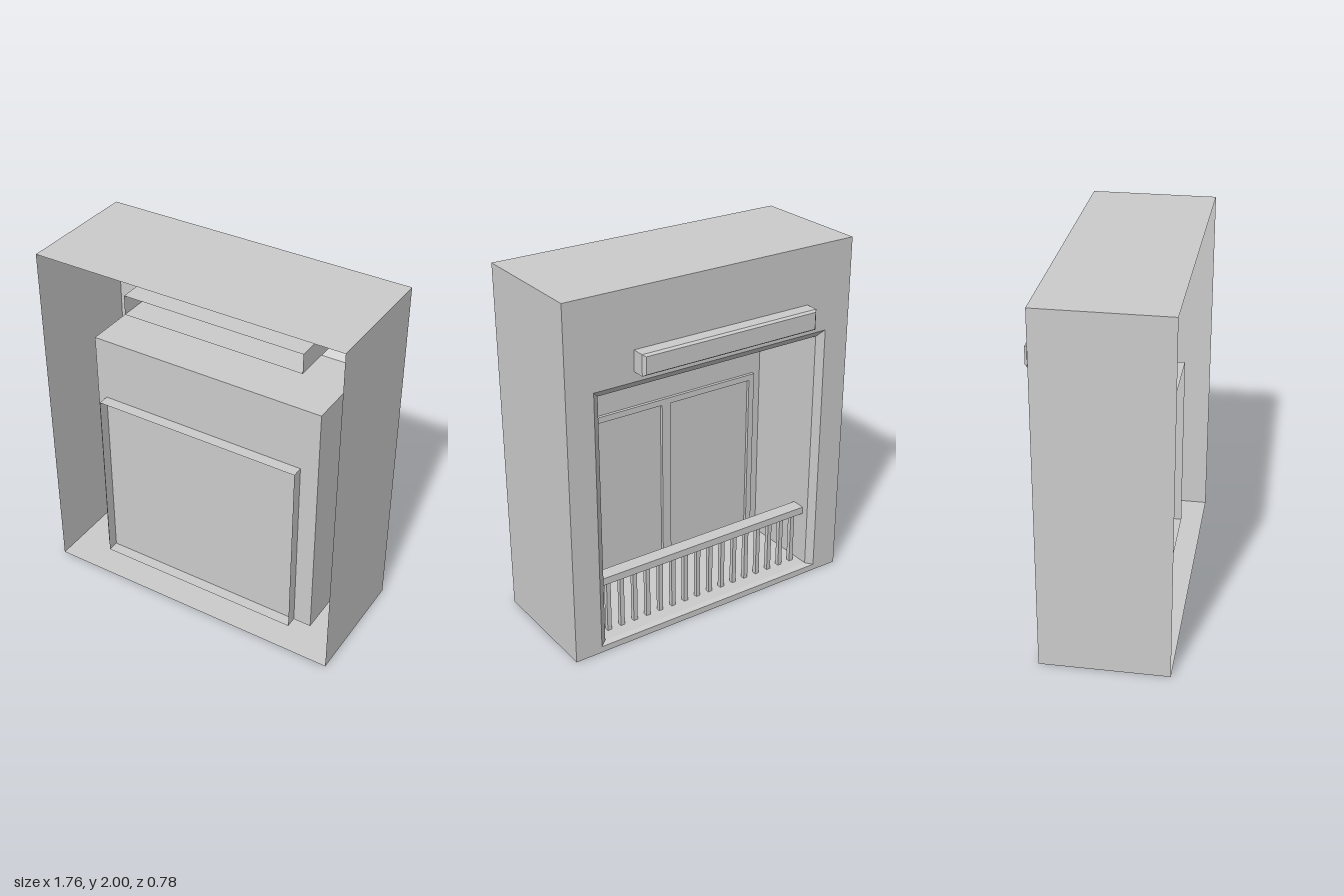
import * as THREE from 'three';

const material = new THREE.MeshStandardMaterial({
  color: 0xcccccc, flatShading: true, side: THREE.DoubleSide,
});

// Skin through rectangular rings [x0, x1, y0, y1, z], ordered from low z to high z
function loft(rings, capStart = false, capEnd = false) {
  const loops = rings.map(([x0, x1, y0, y1, z]) =>
    [[x0, y0, z], [x1, y0, z], [x1, y1, z], [x0, y1, z]]);
  const pos = [];
  const quad = (a, b, c, d) => pos.push(...a, ...b, ...c, ...a, ...c, ...d);
  for (let i = 0; i + 1 < loops.length; i++) {
    const lo = loops[i], hi = loops[i + 1];
    for (let k = 0; k < 4; k++) {
      const n = (k + 1) % 4;
      quad(lo[k], lo[n], hi[n], hi[k]);
    }
  }
  const first = loops[0], last = loops[loops.length - 1];
  if (capStart) quad(first[3], first[2], first[1], first[0]);
  if (capEnd) quad(...last);
  const geometry = new THREE.BufferGeometry();
  geometry.setAttribute('position', new THREE.Float32BufferAttribute(pos, 3));
  geometry.computeVertexNormals();
  return geometry;
}

function rectPath(Type, x0, x1, y0, y1) {
  return new Type([[x0, y0], [x1, y0], [x1, y1], [x0, y1]]
    .map(([x, y]) => new THREE.Vector2(x, y)));
}

export function createModel() {
  const model = new THREE.Group();
  const add = (name, geometry, parent = model) => {
    const mesh = new THREE.Mesh(geometry, material);
    mesh.name = name;
    parent.add(mesh);
    return mesh;
  };
  const box = (name, x0, x1, y0, y1, z0, z1, parent) => {
    const mesh = add(name, new THREE.BoxGeometry(x1 - x0, y1 - y0, z1 - z0), parent);
    mesh.position.set((x0 + x1) / 2, (y0 + y1) / 2, (z0 + z1) / 2);
  };
  const wallZ = -0.305, recessZ = 0.206;

  // Thin outer shell, open at the front
  add('outerShell', loft([[-0.878, 0.878, 0, 2, wallZ], [-0.878, 0.878, 0, 2, 0.39]]));

  // Facade wall with the balcony opening
  const wall = rectPath(THREE.Shape, -0.878, 0.878, 0, 2);
  wall.holes.push(rectPath(THREE.Path, -0.722, 0.722, 0.036, 1.51));
  const wallGeometry = new THREE.ShapeGeometry(wall);
  wallGeometry.rotateY(Math.PI);
  add('facadeWall', wallGeometry).position.z = wallZ;

  // Balcony recess with a splayed edge around the opening
  add('balconyRecess', loft([
    [-0.722, 0.722, 0.036, 1.51, wallZ],
    [-0.683, 0.683, 0.045, 1.472, wallZ + 0.03],
    [-0.683, 0.683, 0.045, 1.472, recessZ],
  ], false, true));

  // Sliding doors: frame with two panes, and an open casing through the wall
  const doors = new THREE.Group();
  doors.name = 'slidingDoors';
  model.add(doors);
  const frame = rectPath(THREE.Shape, -0.63, 0.58, 0.046, 1.1);
  for (const [x0, x1] of [[-0.595, -0.053], [0.003, 0.545]]) {
    frame.holes.push(rectPath(THREE.Path, x0, x1, 0.085, 1.065));
  }
  add('doorFrame', new THREE.ExtrudeGeometry(frame, { depth: 0.018, bevelEnabled: false }), doors)
    .position.z = recessZ - 0.019;
  add('doorCasing', loft([
    [-0.63, 0.58, 0.046, 1.105, recessZ],
    [-0.63, 0.58, 0.046, 1.105, 0.27],
  ]), doors);

  // Railing: handrail and square balusters
  const railing = new THREE.Group();
  railing.name = 'railing';
  model.add(railing);
  box('handrail', -0.81, 0.692, 0.358, 0.4, -0.235, -0.155, railing);
  for (let i = 0; i < 17; i++) {
    const x = 0.613 - 0.083 * i;
    box('baluster', x - 0.0125, x + 0.0125, 0, 0.358, -0.208, -0.183, railing);
  }

  // Long wall box above the opening, chamfered outside and open inside
  add('wallBox', loft([
    [-0.575, 0.475, 1.575, 1.67, -0.392],
    [-0.59, 0.49, 1.565, 1.68, -0.377],
    [-0.59, 0.49, 1.565, 1.68, 0.054],
  ], true, false));

  return model;
}
